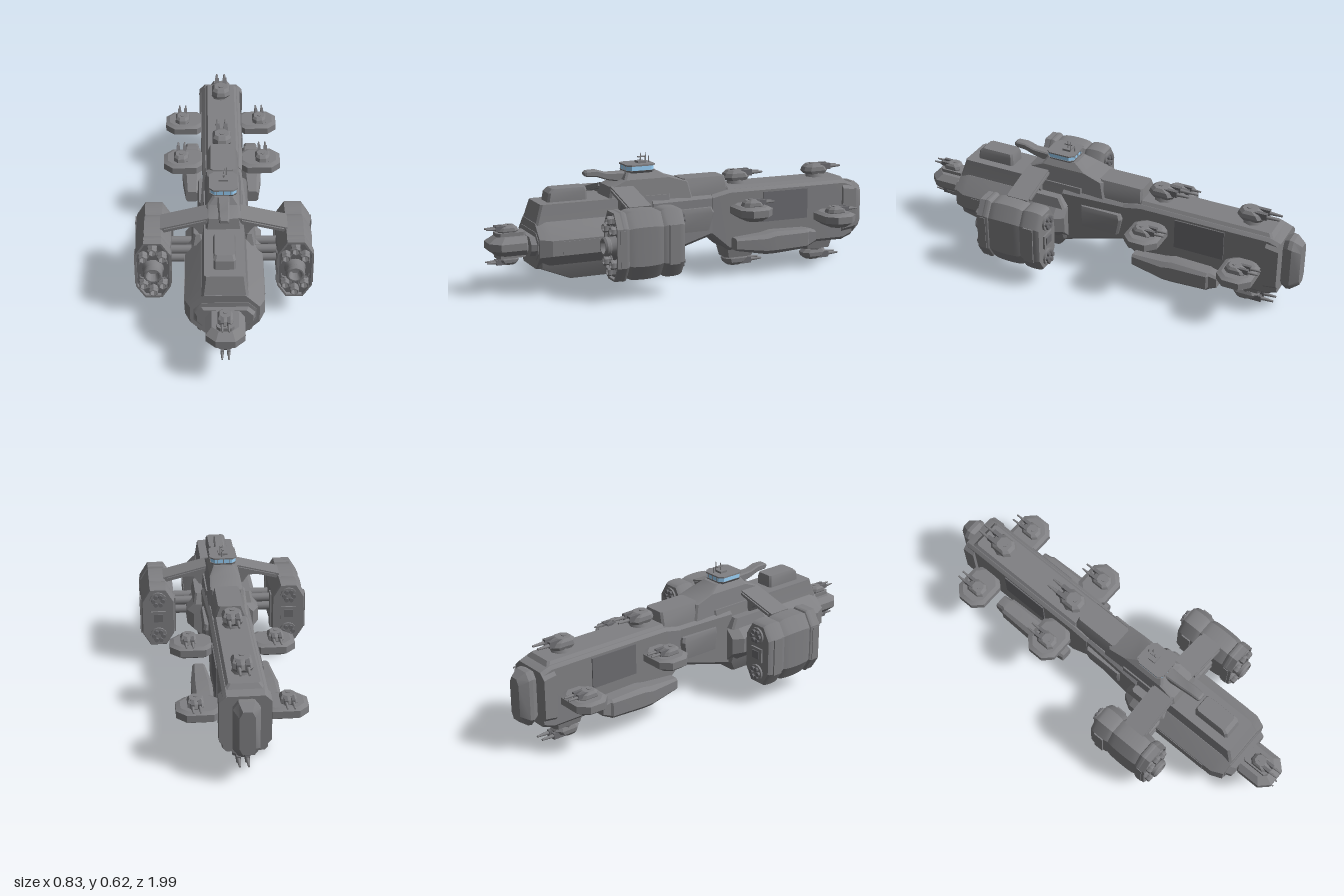
import * as THREE from 'three';
import { toCreasedNormals } from 'three/addons/utils/BufferGeometryUtils.js';

const grey = new THREE.MeshStandardMaterial({ color: 0x808083 });
const dark = new THREE.MeshStandardMaterial({ color: 0x6c6c70 });
const glass = new THREE.MeshStandardMaterial({ color: 0x9ad2fa });

// Chamfered outline, counter-clockwise in (u, v)
const oct = (u0, u1, v0, v1, cu, cv) => [
  [u1, v0 + cv], [u1, v1 - cv], [u1 - cu, v1], [u0 + cu, v1],
  [u0, v1 - cv], [u0, v0 + cv], [u0 + cu, v0], [u1 - cu, v0]];
// Cross-section across z: half width, bottom, top, chamfers
const secZ = (z, w, y0, y1, cx = 0.015, cy = cx) => oct(-w, w, y0, y1, cx, cy).map(([u, v]) => [u, v, z]);
// Cross-section across y: half width, back, front, chamfer
const secY = (y, w, z0, z1, c = 0.01) => oct(-w, w, -z1, -z0, c, c).map(([u, v]) => [u, y, -v]);

// Closed skin through equal rings, capped at both ends
function loft(rings) {
  const pos = [], tri = (a, b, c) => pos.push(...a, ...b, ...c), n = rings[0].length;
  for (let r = 0; r < rings.length - 1; r++)
    for (let i = 0; i < n; i++) {
      const j = (i + 1) % n, a = rings[r], b = rings[r + 1];
      tri(a[i], a[j], b[j]);
      tri(a[i], b[j], b[i]);
    }
  const first = rings[0], last = rings[rings.length - 1];
  for (let i = 1; i < n - 1; i++) {
    tri(first[0], first[i + 1], first[i]);
    tri(last[0], last[i], last[i + 1]);
  }
  const g = new THREE.BufferGeometry();
  g.setAttribute('position', new THREE.Float32BufferAttribute(pos, 3));
  return toCreasedNormals(g, 0.4);
}

function add(parent, name, geo, x = 0, y = 0, z = 0, mat = grey) {
  const m = new THREE.Mesh(geo, mat);
  m.name = name;
  m.position.set(x, y, z);
  parent.add(m);
  return m;
}
const box = (w, h, d) => new THREE.BoxGeometry(w, h, d);
const tube = (r, len, n = 8) => new THREE.CylinderGeometry(r, r, len, n).rotateX(Math.PI / 2);

// Twin-barrel turret, base at its origin, barrels towards +z
function placeTurret(parent, x, y, z, aft, under = false, k = 1) {
  const t = new THREE.Group();
  t.name = 'turret';
  add(t, 'turretBase', new THREE.CylinderGeometry(0.042, 0.05, 0.025, 8), 0, 0.01, 0);
  add(t, 'turretBody', loft([secY(0.018, 0.04, -0.055, 0.05, 0.02), secY(0.034, 0.046, -0.072, 0.062, 0.025),
    secY(0.054, 0.044, -0.065, 0.05, 0.025), secY(0.068, 0.034, -0.048, 0.02, 0.018)]));
  add(t, 'turretHatch', new THREE.CylinderGeometry(0.013, 0.013, 0.008, 8), 0, 0.068, -0.02);
  for (const s of [-1, 1]) {
    add(t, 'barrelShroud', box(0.02, 0.03, 0.07), s * 0.02, 0.052, 0.04, dark);
    add(t, 'barrel', new THREE.CylinderGeometry(0.005, 0.01, 0.07, 8).rotateX(Math.PI / 2), s * 0.02, 0.05, 0.1);
  }
  t.position.set(x, y, z);
  t.rotation.set(0, aft ? Math.PI : 0, under ? Math.PI : 0);
  t.scale.setScalar(k);
  parent.add(t);
}

// Engine nacelle, symmetric about its own axis
function engine() {
  const e = new THREE.Group();
  e.name = 'engine';
  // Cushioned lobes between seams
  const rings = [], seams = [0.17, 0.275, 0.445, 0.485];
  for (let s = 0; s < 3; s++)
    for (let i = 0; i <= 10; i++) {
      const t = i / 10, z = seams[s] + (seams[s + 1] - seams[s]) * t;
      const k = 0.925 + 0.075 * Math.sin(Math.PI * t) ** 0.45;
      if (s === 0 || i > 0) rings.push(secZ(z, 0.083 * k, 0.257 - 0.161 * k, 0.257 + 0.161 * k, 0.042 * k, 0.07 * k));
    }
  add(e, 'nacelle', loft(rings));
  // Front rim around the nozzle well
  const outline = (w, y0, y1, cx, cy) => oct(-w, w, y0, y1, cx, cy).map(p => new THREE.Vector2(...p));
  const rim = new THREE.Shape(outline(0.082, 0.098, 0.415, 0.042, 0.068));
  rim.holes.push(new THREE.Path(outline(0.074, 0.108, 0.405, 0.038, 0.062)));
  add(e, 'frontRim', new THREE.ExtrudeGeometry(rim, { depth: 0.035, bevelEnabled: false }), 0, 0, 0.47);
  add(e, 'wellFloor', new THREE.ShapeGeometry(new THREE.Shape(outline(0.076, 0.106, 0.407, 0.038, 0.062))), 0, 0, 0.487, dark);
  const nozzle = (r, len, n) => toCreasedNormals(new THREE.LatheGeometry(
    [[1.15, 0], [1, 0.25], [0.9, 0.5], [1, 0.6], [1, 0.85], [0.85, 1], [0.7, 1], [0.5, 0.3], [0, 0.25]]
      .map(([a, b]) => new THREE.Vector2(a * r, b * len)), n).rotateX(Math.PI / 2), 0.6);
  add(e, 'mainNozzle', nozzle(0.045, 0.06, 20), 0, 0.257, 0.484);
  for (const [x, y] of [[0, 0.375], [0.044, 0.335], [-0.044, 0.335], [-0.044, 0.18], [0.044, 0.18], [0, 0.14]])
    add(e, 'smallNozzle', nozzle(0.023, 0.04, 6), x, y, 0.485);
  // Curved pipes around the main nozzle
  for (const s of [-1, 1])
    for (const v of [-1, 1]) {
      const path = new THREE.CatmullRomCurve3([[0.065, 0.03], [0.06, 0.05], [0.03, 0.06], [0.018, 0.085], [0.025, 0.11]]
        .map(([x, y]) => new THREE.Vector3(s * x, 0.257 + v * y, 0.49)));
      add(e, 'pipe', new THREE.TubeGeometry(path, 12, 0.005, 6));
    }
  // Outer and inner side plates
  for (const s of [-1, 1]) {
    add(e, 'sidePlate', box(0.016, 0.185, 0.05), s * 0.081, 0.255, 0.225);
    add(e, 'sidePlate', box(0.012, 0.17, 0.03), s * 0.08, 0.255, 0.475);
  }
  // Rear fittings
  add(e, 'rearHousing', box(0.075, 0.07, 0.022), 0, 0.257, 0.172);
  add(e, 'rearHousingInset', box(0.045, 0.04, 0.03), 0, 0.257, 0.172, dark);
  for (const y of [0.16, 0.354]) {
    add(e, 'rearVent', tube(0.042, 0.02, 12), 0, y, 0.17);
    for (let i = 0; i < 6; i++)
      add(e, 'rearVentPipe', tube(0.011, 0.02), 0.024 * Math.cos(i * Math.PI / 3), y + 0.024 * Math.sin(i * Math.PI / 3), 0.158, dark);
  }
  return e;
}

export function createModel() {
  const ship = new THREE.Group();
  ship.name = 'ship';

  // Forward hull with keel and raised deck
  add(ship, 'forwardHull', loft([secZ(0.17, 0.15, 0.13, 0.33, 0.06, 0.06), secZ(0.22, 0.18, 0.122, 0.345, 0.075, 0.075),
    secZ(0.73, 0.18, 0.122, 0.345, 0.075, 0.075), secZ(0.785, 0.155, 0.125, 0.34, 0.065, 0.065)]));
  add(ship, 'keel', loft([secY(0.063, 0.088, 0.23, 0.62), secY(0.13, 0.122, 0.18, 0.775), secY(0.17, 0.135, 0.18, 0.775)]));
  add(ship, 'keelPanel', box(0.12, 0.01, 0.32), 0, 0.065, 0.42, dark);
  add(ship, 'upperDeck', loft([secY(0.33, 0.105, 0.1, 0.785), secY(0.36, 0.1, 0.1, 0.775), secY(0.424, 0.092, 0.1, 0.755)]));
  add(ship, 'deckHouse', loft([secY(0.41, 0.05, 0.51, 0.71), secY(0.465, 0.05, 0.51, 0.7), secY(0.484, 0.044, 0.515, 0.68)]));

  // Nose mount with turrets above and below
  add(ship, 'noseCollar', loft([secZ(0.775, 0.14, 0.17, 0.3, 0.035), secZ(0.788, 0.14, 0.17, 0.3, 0.035),
    secZ(0.79, 0.135, 0.19, 0.28, 0.03), secZ(0.815, 0.125, 0.19, 0.28, 0.03)]));
  add(ship, 'nosePlate', loft([secY(0.19, 0.06, 0.78, 0.95, 0.03), secY(0.218, 0.088, 0.78, 0.99, 0.045),
    secY(0.252, 0.088, 0.78, 0.99, 0.045), secY(0.278, 0.06, 0.78, 0.95, 0.03)]));
  add(ship, 'noseCore', loft([secY(0.175, 0.04, 0.81, 0.95, 0.015), secY(0.295, 0.04, 0.81, 0.95, 0.015)]));
  placeTurret(ship, 0, 0.276, 0.895, false, false, 0.74);
  placeTurret(ship, 0, 0.192, 0.895, false, true, 0.74);

  // Bridge tower
  add(ship, 'towerBase', loft([secY(0.39, 0.09, -0.02, 0.42), secY(0.475, 0.078, 0.0, 0.4), secY(0.503, 0.074, 0.09, 0.33),
    secY(0.535, 0.05, 0.15, 0.31)]));
  add(ship, 'bridgeFloor', loft([secY(0.525, 0.05, 0.17, 0.3), secY(0.543, 0.064, 0.165, 0.31, 0.02)]));
  add(ship, 'windows', loft([secY(0.543, 0.061, 0.168, 0.307, 0.02), secY(0.565, 0.061, 0.168, 0.307, 0.02)]), 0, 0, 0, glass);
  add(ship, 'bridgeRoof', loft([secY(0.564, 0.066, 0.163, 0.311, 0.02), secY(0.571, 0.066, 0.163, 0.311, 0.02)]));
  for (const x of [-0.031, 0, 0.031])
    for (const z of [0.168, 0.307]) add(ship, 'windowPost', box(0.004, 0.024, 0.005), x, 0.554, z);
  add(ship, 'roofBox', box(0.045, 0.012, 0.04), 0, 0.575, 0.22);
  for (const [x, z, h] of [[0.002, 0.22, 0.045], [0.015, 0.2, 0.05], [0.008, 0.18, 0.03]])
    add(ship, 'antenna', new THREE.CylinderGeometry(0.002, 0.004, h, 6), x, 0.573 + h / 2, z);
  add(ship, 'antennaBar', box(0.012, 0.005, 0.04), 0.002, 0.6, 0.215);
  add(ship, 'bowArm', loft([secZ(0.28, 0.03, 0.48, 0.535, 0.006), secZ(0.4, 0.025, 0.502, 0.537, 0.006),
    secZ(0.45, 0.025, 0.52, 0.553, 0.006), secZ(0.5, 0.023, 0.523, 0.552, 0.006), secZ(0.51, 0.018, 0.53, 0.545, 0.004)]));

  // Middle hull and dorsal blocks
  add(ship, 'middleHull', loft([secZ(-0.2, 0.09, 0.19, 0.4), secZ(-0.11, 0.095, 0.195, 0.4), secZ(0.2, 0.11, 0.11, 0.4)]));
  add(ship, 'dorsalBlock', loft([secY(0.39, 0.08, -0.215, 0.03), secY(0.44, 0.075, -0.21, 0.02), secY(0.485, 0.058, -0.205, 0.02)]));

  // Aft hull, spine and stern
  add(ship, 'aftHull', loft([secZ(-0.915, 0.098, 0.13, 0.4), secZ(-0.86, 0.1, 0.11, 0.42), secZ(-0.215, 0.1, 0.115, 0.42),
    secZ(-0.12, 0.098, 0.195, 0.4)]));
  add(ship, 'spine', loft([secY(0.41, 0.09, -0.88, -0.2), secY(0.434, 0.07, -0.86, -0.2)]));
  add(ship, 'sternFrame', loft([secZ(-0.915, 0.115, 0.15, 0.4, 0.03), secZ(-0.85, 0.115, 0.14, 0.41, 0.03)]));
  add(ship, 'stern', loft([secZ(-1, 0.035, 0.16, 0.37, 0.015, 0.03), secZ(-0.96, 0.06, 0.133, 0.397, 0.025, 0.035),
    secZ(-0.94, 0.06, 0.13, 0.4, 0.025, 0.035), secZ(-0.9, 0.042, 0.15, 0.38, 0.02, 0.03)]));

  // Central turrets above and below the aft hull
  for (const z of [-0.295, -0.745]) {
    placeTurret(ship, 0, 0.432, z, true);
    add(ship, 'ventralMount', loft([secY(0.065, 0.048, z - 0.075, z + 0.075, 0.015), secY(0.13, 0.06, z - 0.09, z + 0.09, 0.015)]));
    placeTurret(ship, 0, z < -0.5 ? 0.075 : 0.09, z, true, true);
  }

  for (const s of [-1, 1]) {
    // Engine with its wing, brace and struts
    const e = engine();
    e.position.x = s * 0.328;
    ship.add(e);
    for (const [name, w, h, d] of [['wing', 0.235, 0.026, 0.11], ['wingTrim', 0.2, 0.012, 0.124]])
      add(ship, name, box(w, h, d), s * 0.178, 0.437, 0.345).rotation.z = -s * 0.25;
    const brace = new THREE.Shape([[0.085, 0.34], [0.1, 0.35], [0.125, 0.39], [0.14, 0.41], [0.25, 0.41], [0.085, 0.46]]
      .map(([x, y]) => new THREE.Vector2(s * x, y)));
    add(ship, 'wingBrace', new THREE.ExtrudeGeometry(brace, { depth: 0.06, bevelEnabled: false }), 0, 0, 0.315);
    for (const y of [0.235, 0.282])
      for (const z of [0.31, 0.375])
        add(ship, 'engineStrut', new THREE.CylinderGeometry(0.022, 0.022, 0.11, 10).rotateZ(Math.PI / 2), s * 0.205, y, z);

    // Side panels along the hull
    add(ship, 'forwardPanel', box(0.01, 0.06, 0.3), s * 0.178, 0.233, 0.53);
    add(ship, 'shoulder', loft([secY(0.32, 0.03, 0.17, 0.4), secY(0.37, 0.02, 0.2, 0.38)]), s * 0.12);
    add(ship, 'middlePanel', loft([secY(0.23, 0.012, -0.1, 0.1), secY(0.32, 0.022, -0.12, 0.1), secY(0.345, 0.015, -0.11, 0.1)]), s * 0.1);
    add(ship, 'aftPanel', box(0.012, 0.15, 0.25), s * 0.1, 0.32, -0.52, dark);

    // Lower side sponson
    add(ship, 'sponson', loft([secZ(-0.65, 0.034, 0.135, 0.195, 0.01), secZ(-0.61, 0.036, 0.115, 0.205, 0.012),
      secZ(-0.6, 0.045, 0.11, 0.205, 0.014), secZ(-0.42, 0.05, 0.1, 0.21, 0.02), secZ(-0.37, 0.048, 0.1, 0.2, 0.02),
      secZ(-0.21, 0.03, 0.13, 0.19, 0.01)]), s * 0.154);
    add(ship, 'sponsonPanel', box(0.02, 0.05, 0.14), s * 0.189, 0.155, -0.5, dark);

    // Side gun platforms
    for (const [y, z] of [[0.33, -0.285], [0.258, -0.755]]) {
      add(ship, 'gunPlatform', loft([secY(y - 0.045, 0.07, z - 0.045, z + 0.045, 0.025), secY(y - 0.02, 0.105, z - 0.085, z + 0.085, 0.045),
        secY(y + 0.014, 0.105, z - 0.085, z + 0.085, 0.045), secY(y + 0.024, 0.085, z - 0.065, z + 0.065, 0.035)]), s * 0.188);
      placeTurret(ship, s * 0.205, y, z, true, false, 0.8);
    }
  }
  return ship;
}
